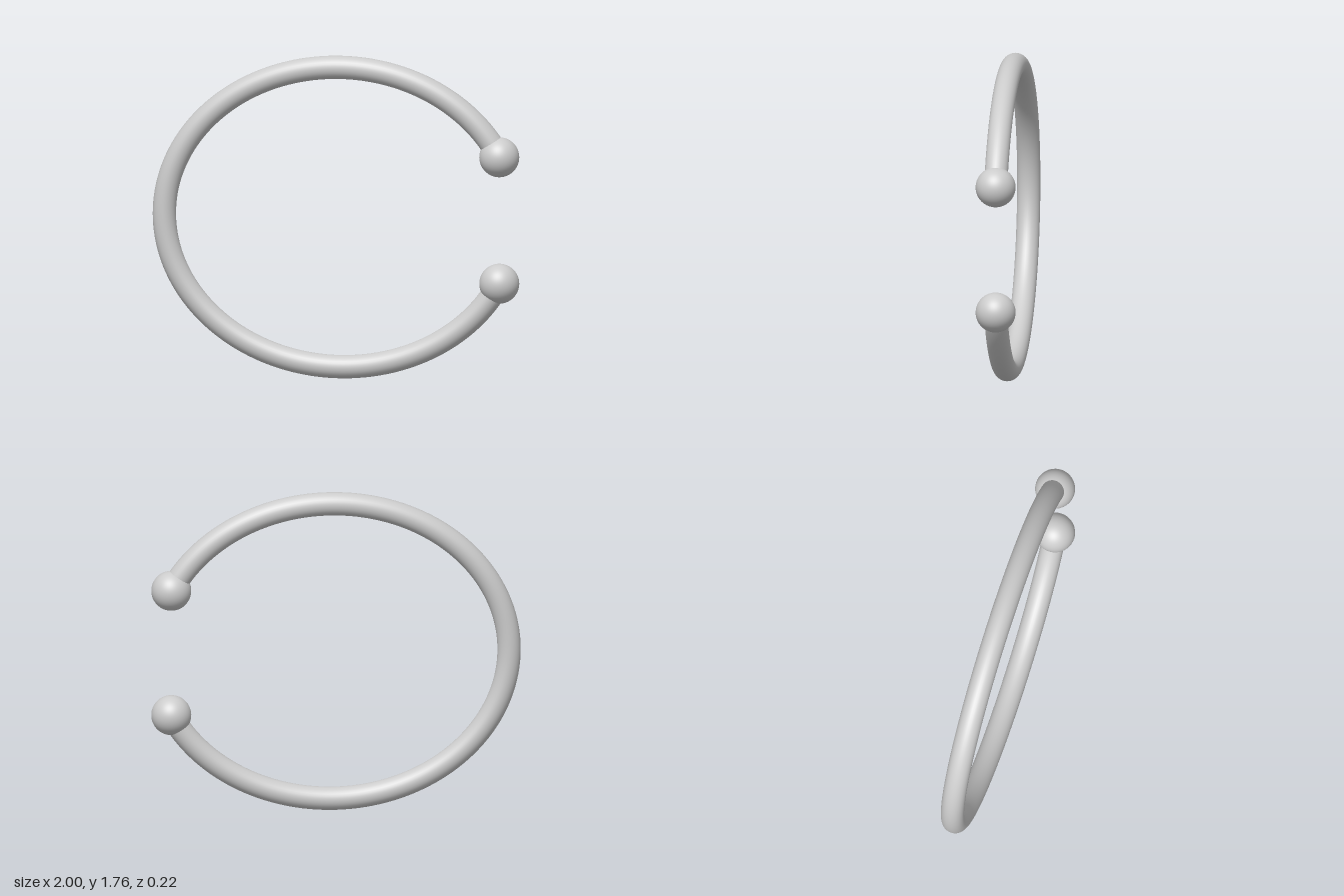
import * as THREE from 'three';

const TUBE_RADIUS = 0.063;
const BALL_RADIUS = 0.108;
const CENTRE = new THREE.Vector2(0.02, 0.88);
const RADII = new THREE.Vector2(0.957, 0.817);
const GAP_ANGLE = 0.436; // half of the opening, as an ellipse parameter

// Open elliptical path running from the upper end round to the lower end
class OpenEllipse extends THREE.Curve {
  getPoint(t, target = new THREE.Vector3()) {
    const angle = THREE.MathUtils.lerp(GAP_ANGLE, 2 * Math.PI - GAP_ANGLE, t);
    return target.set(
      CENTRE.x + RADII.x * Math.cos(angle),
      CENTRE.y + RADII.y * Math.sin(angle),
      0
    );
  }
}

export function createModel() {
  const model = new THREE.Group();
  model.name = 'openRing';
  const material = new THREE.MeshStandardMaterial({ color: 0xcccccc });
  const path = new OpenEllipse();

  // Round bar bent into an open ring
  const band = new THREE.Mesh(new THREE.TubeGeometry(path, 160, TUBE_RADIUS, 32), material);
  band.name = 'band';
  model.add(band);

  // Ball on each end, hiding the open tube ends
  const ballGeometry = new THREE.SphereGeometry(BALL_RADIUS, 48, 32);
  [['upperBall', 0], ['lowerBall', 1]].forEach(([name, t]) => {
    const ball = new THREE.Mesh(ballGeometry, material);
    ball.name = name;
    ball.position.copy(path.getPoint(t));
    model.add(ball);
  });

  return model;
}
